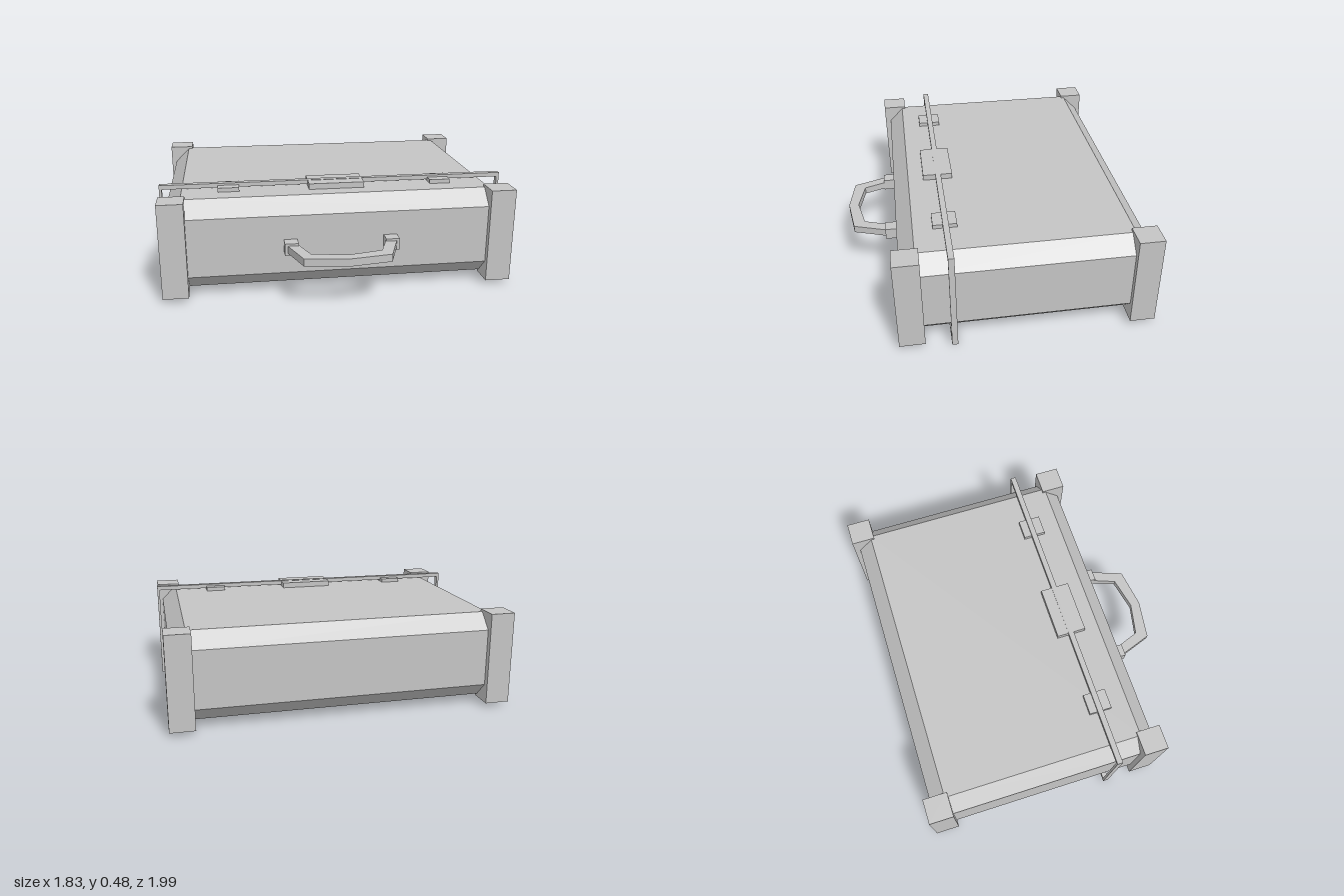
import * as THREE from 'three';
import { ConvexGeometry } from 'three/addons/geometries/ConvexGeometry.js';

const MID_Y = 0.242;

export function createModel() {
  const model = new THREE.Group();
  model.name = 'briefcase';
  const grey = new THREE.MeshStandardMaterial({ color: 0xc4c4c4 });
  grey.name = 'light grey';

  // the case lies flat, turned thirty degrees
  const briefcase = new THREE.Group();
  briefcase.name = 'case';
  briefcase.rotation.y = -Math.PI / 6;
  model.add(briefcase);

  const add = (name, geometry, x = 0, y = 0, z = 0) => {
    const mesh = new THREE.Mesh(geometry, grey);
    mesh.name = name;
    mesh.position.set(x, y, z);
    briefcase.add(mesh);
    return mesh;
  };
  const box = (name, w, h, d, x, y, z) => add(name, new THREE.BoxGeometry(w, h, d), x, y, z);

  // body: box with every edge chamfered
  const [hx, hy, hz, c] = [0.56, 0.21, 0.787, 0.073];
  const points = [];
  for (const sx of [-1, 1]) for (const sy of [-1, 1]) for (const sz of [-1, 1]) {
    points.push(
      new THREE.Vector3(sx * hx, sy * (hy - c), sz * (hz - c)),
      new THREE.Vector3(sx * (hx - c), sy * hy, sz * (hz - c)),
      new THREE.Vector3(sx * (hx - c), sy * (hy - c), sz * hz));
  }
  add('body', new ConvexGeometry(points), 0, MID_Y + 0.003, 0);

  // corner guards
  for (const sx of [-1, 1]) for (const sz of [-1, 1]) {
    box('cornerGuard', 0.117, 0.445, 0.117, sx * 0.529, MID_Y + 0.001, sz * 0.753);
  }

  // thin rectangular band around the case
  const rect = (Type, w, y0, y1) => new Type([
    new THREE.Vector2(-w, y0), new THREE.Vector2(w, y0),
    new THREE.Vector2(w, y1), new THREE.Vector2(-w, y1)]);
  const bandShape = rect(THREE.Shape, 0.815, 0, 0.484);
  bandShape.holes.push(rect(THREE.Path, 0.803, 0.02, 0.464));
  const band = new THREE.ExtrudeGeometry(bandShape, { depth: 0.027, bevelEnabled: false });
  band.rotateY(Math.PI / 2);
  add('band', band, 0.326, 0, 0);

  // clasps and clips on the top and underside
  for (const s of [-1, 1]) {
    box('clasp', 0.143, 0.034, 0.26, 0.342, MID_Y + s * 0.223, -0.003);
    for (const z of [-0.503, 0.498]) {
      box('clip', 0.11, 0.026, 0.098, 0.343, MID_Y + s * 0.219, z);
    }
  }

  // handle: faceted flat loop between two mounts
  const outer = [[0.59, -0.257], [0.77, -0.193], [0.798, 0], [0.77, 0.193], [0.59, 0.257]];
  const inner = [[0.59, 0.205], [0.717, 0.158], [0.75, 0], [0.717, -0.158], [0.59, -0.205]];
  const handleShape = new THREE.Shape([...outer, ...inner].map(p => new THREE.Vector2(...p)));
  const handle = new THREE.ExtrudeGeometry(handleShape, { depth: 0.035, bevelEnabled: false });
  handle.rotateX(-Math.PI / 2);
  add('handle', handle, 0, 0.224, 0);
  for (const s of [-1, 1]) box('handleMount', 0.065, 0.055, 0.062, 0.585, MID_Y, s * 0.23);

  return model;
}
